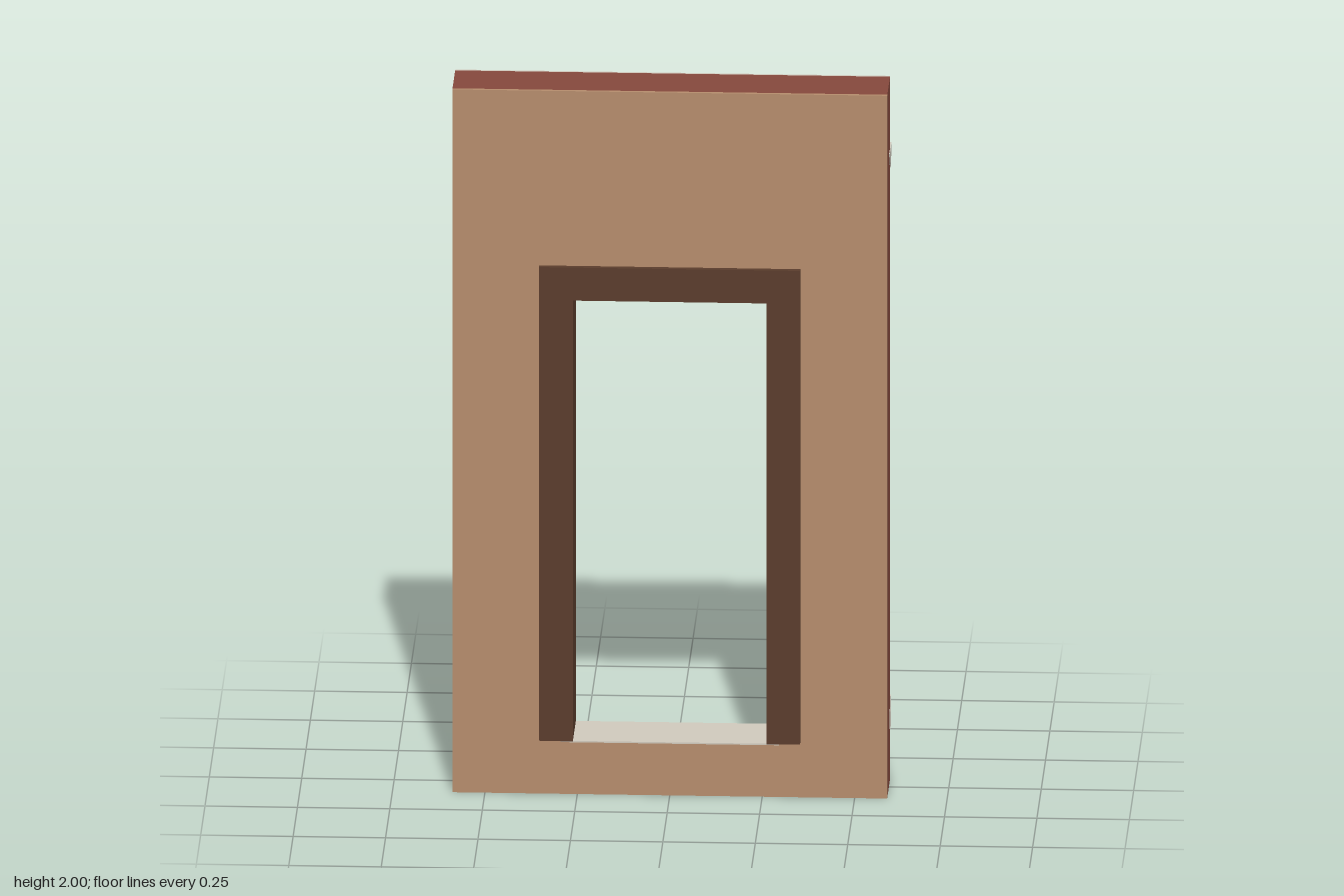
import * as THREE from 'three';

const mat = (name, color) => {
  const m = new THREE.MeshStandardMaterial({ color });
  m.name = name;
  return m;
};

export function createModel() {
  const group = new THREE.Group();
  const brick = mat('brick red', 0x84483c);
  const tan = mat('tan plaster', 0xb48c6c);
  const stone = mat('pale plaster', 0xcfc8bc);
  const wood = mat('dark wood', 0x5a3c2c);

  const W = 0.588, H = 2, SILL = 0.15;

  const add = (name, geo, material) => {
    const m = new THREE.Mesh(geo, material);
    m.name = name;
    group.add(m);
  };
  const box = (name, material, x0, x1, y0, y1, z0, z1) => {
    const g = new THREE.BoxGeometry(x1 - x0, y1 - y0, z1 - z0);
    g.translate((x0 + x1) / 2, (y0 + y1) / 2, (z0 + z1) / 2);
    add(name, g, material);
  };
  const outline = (pts) => pts.map(([x, y]) => new THREE.Vector2(x, y));

  // Wall layer with a doorway cut through it
  const wallLayer = (name, material, z0, z1) => {
    const s = new THREE.Shape(outline([[-W, 0], [W, 0], [W, H], [-W, H]]));
    s.holes.push(new THREE.Path(outline([[-0.295, 0.147], [-0.295, 1.445], [0.295, 1.445], [0.295, 0.147]])));
    const g = new THREE.ExtrudeGeometry(s, { depth: z1 - z0, bevelEnabled: false });
    add(name, g.translate(0, 0, z0), material);
  };
  // U-shaped frame around the doorway, open at the bottom
  const frame = (name, material, xo, xi, yo, yi, y0, z0, z1) => {
    const s = new THREE.Shape(outline([
      [-xo, y0], [-xi, y0], [-xi, yi], [xi, yi], [xi, y0], [xo, y0], [xo, yo], [-xo, yo]]));
    const g = new THREE.ExtrudeGeometry(s, { depth: z1 - z0, bevelEnabled: false });
    add(name, g.translate(0, 0, z0), material);
  };
  // Moulding run along x; profile points are [distance behind centre, height]
  const moulding = (name, material, pts, x0, x1) => {
    const g = new THREE.ExtrudeGeometry(new THREE.Shape(outline(pts)), { depth: x1 - x0, bevelEnabled: false });
    add(name, g.rotateY(Math.PI / 2).translate(x0, 0, 0), material);
  };

  // Layered wall
  wallLayer('brickCore', brick, -0.064, 0.09);
  wallLayer('frontPlaster', tan, 0.09, 0.1);
  wallLayer('backPlaster', stone, -0.072, -0.064);

  // Doorway lining, threshold and front casing
  frame('doorJamb', wood, 0.295, 0.262, 1.445, 1.405, SILL, -0.079, 0.103);
  box('threshold', stone, -0.295, 0.295, 0.147, SILL + 0.001, -0.072, 0.1);
  frame('frontCasing', wood, 0.353, 0.295, 1.503, 1.445, 0.155, 0.1, 0.115);

  // Back casing with pale outer band, frieze and cap
  frame('backCasing', wood, 0.336, 0.29, 1.445, 1.425, SILL, -0.086, -0.072);
  frame('backCasingBand', stone, 0.354, 0.336, 1.447, 1.445, SILL, -0.08, -0.072);
  box('friezeFillet', stone, -0.354, 0.354, 1.432, 1.45, -0.089, -0.072);
  box('frieze', wood, -0.354, 0.354, 1.45, 1.505, -0.082, -0.072);
  moulding('doorCap', stone,
    [[0.07, 1.503], [0.084, 1.503], [0.086, 1.513], [0.096, 1.52], [0.099, 1.53], [0.07, 1.53]], -0.36, 0.36);

  // Cornice across the back
  moulding('cornice', stone, [
    [0.055, 1.745], [0.074, 1.745], [0.082, 1.758], [0.097, 1.767], [0.109, 1.782], [0.117, 1.797],
    [0.015, 1.797], [0.022, 1.782], [0.034, 1.767], [0.047, 1.758]], -W - 0.002, W + 0.002);

  // Skirting and plinth blocks on both sides of the doorway
  const skirting = [[0.045, SILL], [0.087, SILL], [0.087, 0.2], [0.08, 0.21], [0.076, 0.238],
    [0.058, 0.238], [0.053, 0.21], [0.045, 0.2]];
  for (const side of [-1, 1]) {
    const ends = [side * 0.35, side * (W + 0.002)].sort((a, b) => a - b);
    moulding('skirting', stone, skirting, ends[0], ends[1]);
    const block = [side * 0.296, side * 0.358].sort((a, b) => a - b);
    box('plinthBlock', stone, block[0], block[1], SILL, 0.245, -0.092, -0.068);
  }
  return group;
}
